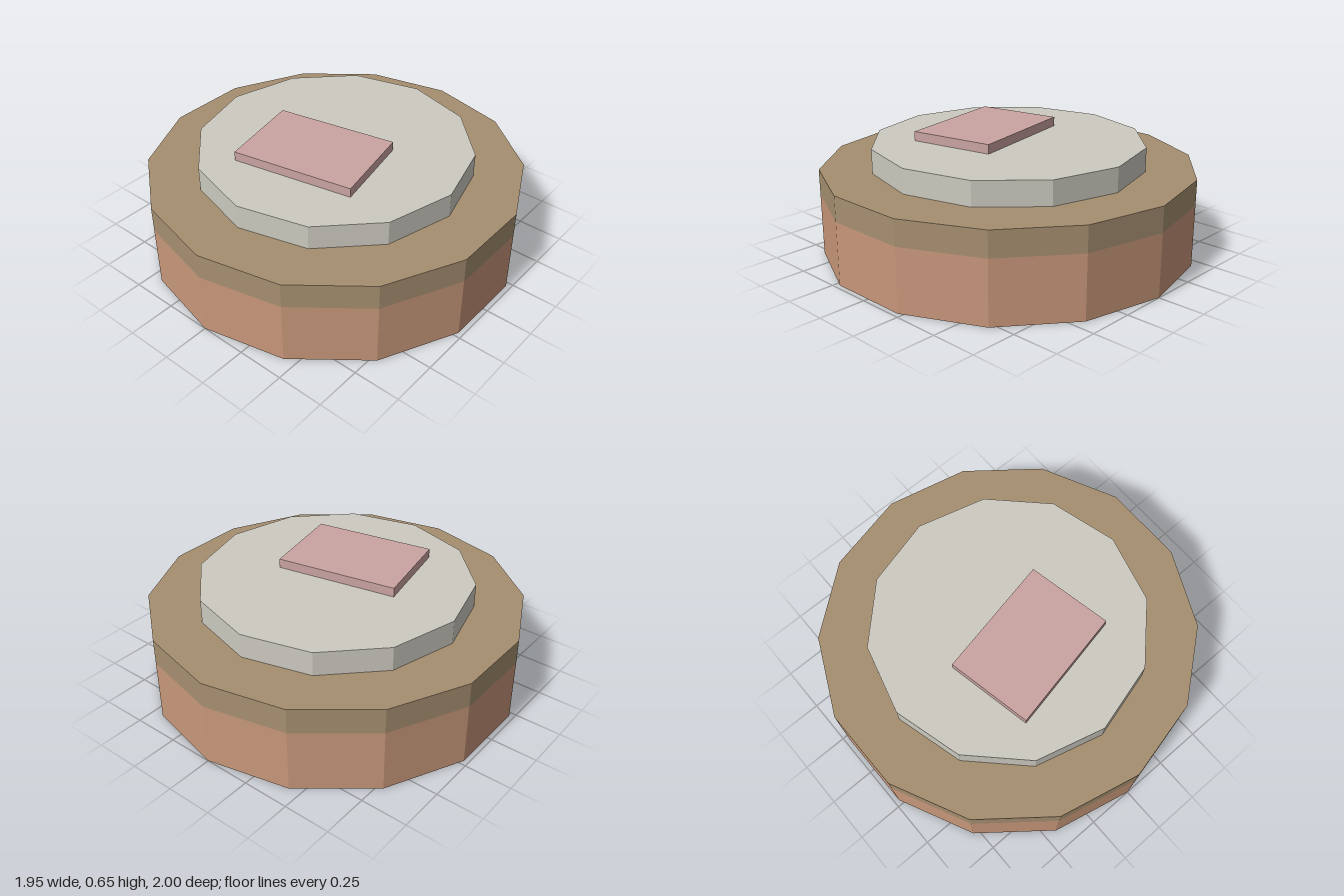
import * as THREE from 'three';

// Mesh resting on height y0 and reaching y1
function addPart(group, name, geometry, color, y0, y1) {
  const material = new THREE.MeshStandardMaterial({ color, flatShading: true });
  const mesh = new THREE.Mesh(geometry, material);
  mesh.name = name;
  mesh.position.y = (y0 + y1) / 2;
  group.add(mesh);
  return mesh;
}

function addDisc(group, name, radius, sides, color, y0, y1) {
  return addPart(group, name, new THREE.CylinderGeometry(radius, radius, y1 - y0, sides), color, y0, y1);
}

export function createModel() {
  const group = new THREE.Group();
  group.name = 'steppedDisc';

  // Fourteen-sided base in two colour bands
  addDisc(group, 'baseLowerBand', 1, 14, 0xc8977a, 0, 0.335);
  addDisc(group, 'baseUpperBand', 1, 14, 0xa68f70, 0.335, 0.47);

  // Twelve-sided plate on top of the base
  addDisc(group, 'topPlate', 0.73, 12, 0xcccac0, 0.47, 0.6);

  // Thin slab, turned slightly and set towards the front
  const slab = addPart(group, 'slab', new THREE.BoxGeometry(0.663, 0.05, 0.467), 0xcaa4a2, 0.6, 0.65);
  slab.position.z = 0.165;
  slab.rotation.y = 0.197;

  return group;
}
